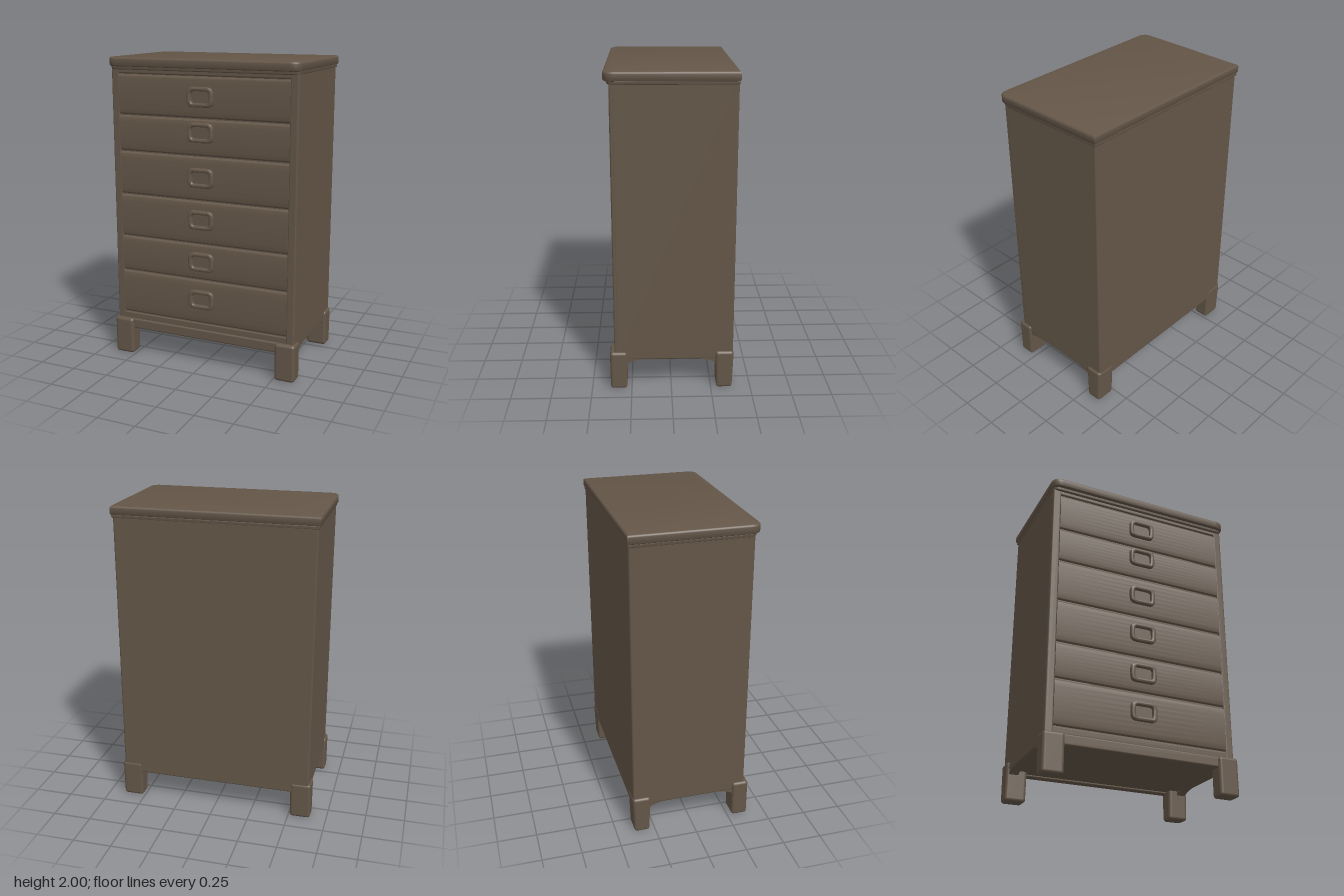
import * as THREE from 'three';
import { toCreasedNormals } from 'three/addons/utils/BufferGeometryUtils.js';
import { RoundedBoxGeometry } from 'three/addons/geometries/RoundedBoxGeometry.js';

const wood = new THREE.MeshStandardMaterial({ color: 0x645648 });
wood.name = 'darkWood';

function add(parent, name, geometry, x = 0, y = 0, z = 0) {
  const mesh = new THREE.Mesh(geometry, wood);
  mesh.name = name;
  mesh.position.set(x, y, z);
  parent.add(mesh);
  return mesh;
}

// Rounded box given by its lower and upper corners
function block(parent, name, a, b, r = 0.01) {
  const s = b.map((v, i) => v - a[i]);
  const c = b.map((v, i) => (v + a[i]) / 2);
  return add(parent, name, new RoundedBoxGeometry(...s, 3, r), ...c);
}

// Rounded rectangle outline centred on the origin
function roundedRect(path, w, h, r) {
  const x = w / 2, y = h / 2;
  path.moveTo(-x + r, -y);
  path.lineTo(x - r, -y);
  path.quadraticCurveTo(x, -y, x, -y + r);
  path.lineTo(x, y - r);
  path.quadraticCurveTo(x, y, x - r, y);
  path.lineTo(-x + r, y);
  path.quadraticCurveTo(-x, y, -x, y - r);
  path.lineTo(-x, -y + r);
  path.quadraticCurveTo(-x, -y, -x + r, -y);
  return path;
}

function extrude(shape, depth, bevel = 0) {
  return toCreasedNormals(new THREE.ExtrudeGeometry(shape, {
    depth, curveSegments: 8, bevelEnabled: bevel > 0,
    bevelSize: bevel, bevelThickness: bevel, bevelOffset: -bevel, bevelSegments: 4,
  }), 0.7);
}

// Flat slab with rounded front corners, seen from above
function slab(w, back, front, corner, height, bevel) {
  const s = new THREE.Shape();
  s.moveTo(-w, -back);
  s.lineTo(-w, -front + corner);
  s.quadraticCurveTo(-w, -front, -w + corner, -front);
  s.lineTo(w - corner, -front);
  s.quadraticCurveTo(w, -front, w, -front + corner);
  s.lineTo(w, -back);
  const g = extrude(s, height - 2 * bevel, bevel);
  return g.translate(0, 0, bevel).rotateX(-Math.PI / 2);
}

// Softly bowed drawer front, its side profile swept across the width
function drawerFront(width, height) {
  const s = new THREE.Shape();
  s.moveTo(0, 0);
  s.lineTo(0.035, 0);
  s.quadraticCurveTo(0.049, 0.002, 0.051, 0.018);
  s.quadraticCurveTo(0.062, height * 0.5, 0.052, height - 0.018);
  s.quadraticCurveTo(0.049, height - 0.002, 0.035, height);
  s.lineTo(0, height);
  return extrude(s, width).rotateY(-Math.PI / 2).scale(1, 1, 1).translate(width / 2, 0, 0);
}

// Leg that narrows slightly toward the floor and leans in at the top
function legGeometry(depth, taper) {
  const g = new RoundedBoxGeometry(0.135, 0.25, depth, 4, 0.02);
  const p = g.attributes.position;
  for (let i = 0; i < p.count; i++) {
    const down = 0.5 - p.getY(i) / 0.25;
    p.setZ(i, p.getZ(i) * (1 - taper * down));
  }
  return g;
}

export function createModel() {
  const model = new THREE.Group();
  model.name = 'chestOfDrawers';

  // Case and top
  block(model, 'case', [-0.632, 0.195, -0.388], [0.632, 1.955, 0.345], 0.012);
  add(model, 'topBoard', slab(0.646, -0.395, 0.394, 0.065, 0.058, 0.014), 0, 1.942, 0);
  add(model, 'topMoulding', slab(0.638, -0.391, 0.372, 0.05, 0.03, 0.012), 0, 1.922, 0);

  // Face frame around the drawers
  for (const side of [-1, 1]) {
    const x = side * 0.604;
    block(model, 'stile', [x - 0.027, 0.21, 0.3], [x + 0.027, 1.94, 0.357], 0.01);
  }
  block(model, 'topRail', [-0.6, 1.897, 0.3], [0.6, 1.94, 0.356], 0.01);
  block(model, 'frontApron', [-0.6, 0.18, 0.29], [0.6, 0.25, 0.366], 0.012);
  block(model, 'lowerRail', [-0.59, 0.245, 0.3], [0.59, 0.29, 0.355], 0.008);
  block(model, 'backApron', [-0.6, 0.182, -0.388], [0.6, 0.25, -0.33], 0.01);

  // Drawers and their pulls
  const seams = [0.292, 0.59, 0.83, 1.115, 1.4, 1.635, 1.897];
  const pullHeights = [0.46, 0.715, 0.992, 1.265, 1.55, 1.77];
  const ring = roundedRect(new THREE.Shape(), 0.176, 0.124, 0.04);
  ring.holes.push(roundedRect(new THREE.Path(), 0.118, 0.074, 0.02));
  const ringGeometry = extrude(ring, 0.03, 0.01);
  const cup = extrude(roundedRect(new THREE.Shape(), 0.14, 0.1, 0.02), 0.02);
  pullHeights.forEach((y, i) => {
    const drawer = new THREE.Group();
    drawer.name = 'drawer' + (i + 1);
    model.add(drawer);
    const bottom = seams[i] + 0.002;
    const front = drawerFront(1.16, seams[i + 1] - seams[i] - 0.004);
    // The sweep runs along x with its profile facing forward
    add(drawer, 'drawerFront', front, 0, bottom, 0.305).geometry.computeBoundingBox();
    add(drawer, 'pullRing', ringGeometry, 0, y, 0.345);
    add(drawer, 'pullCup', cup, 0, y, 0.342);
  });

  // Legs
  const frontLeg = legGeometry(0.108, 0.03);
  const backLeg = legGeometry(0.118, 0.16);
  for (const side of [-1, 1]) {
    add(model, 'frontLeg', frontLeg, side * 0.578, 0.128, 0.331).position.y = 0.125;
    add(model, 'backLeg', backLeg, side * 0.578, 0.125, -0.334);

    // Curved brackets where the legs meet the side panels
    for (const end of [-1, 1]) {
      const s = new THREE.Shape();
      s.moveTo(0, 0.205);
      s.lineTo(0.1, 0.205);
      s.lineTo(0.1, 0.197);
      s.quadraticCurveTo(0.03, 0.19, 0, 0.165);
      const g = extrude(s, 0.06).translate(0, 0, -0.03);
      const bracket = add(model, 'sideBracket', g, side * 0.6, 0, end * 0.282);
      bracket.rotation.y = end * Math.PI / 2;
    }
  }
  return model;
}
